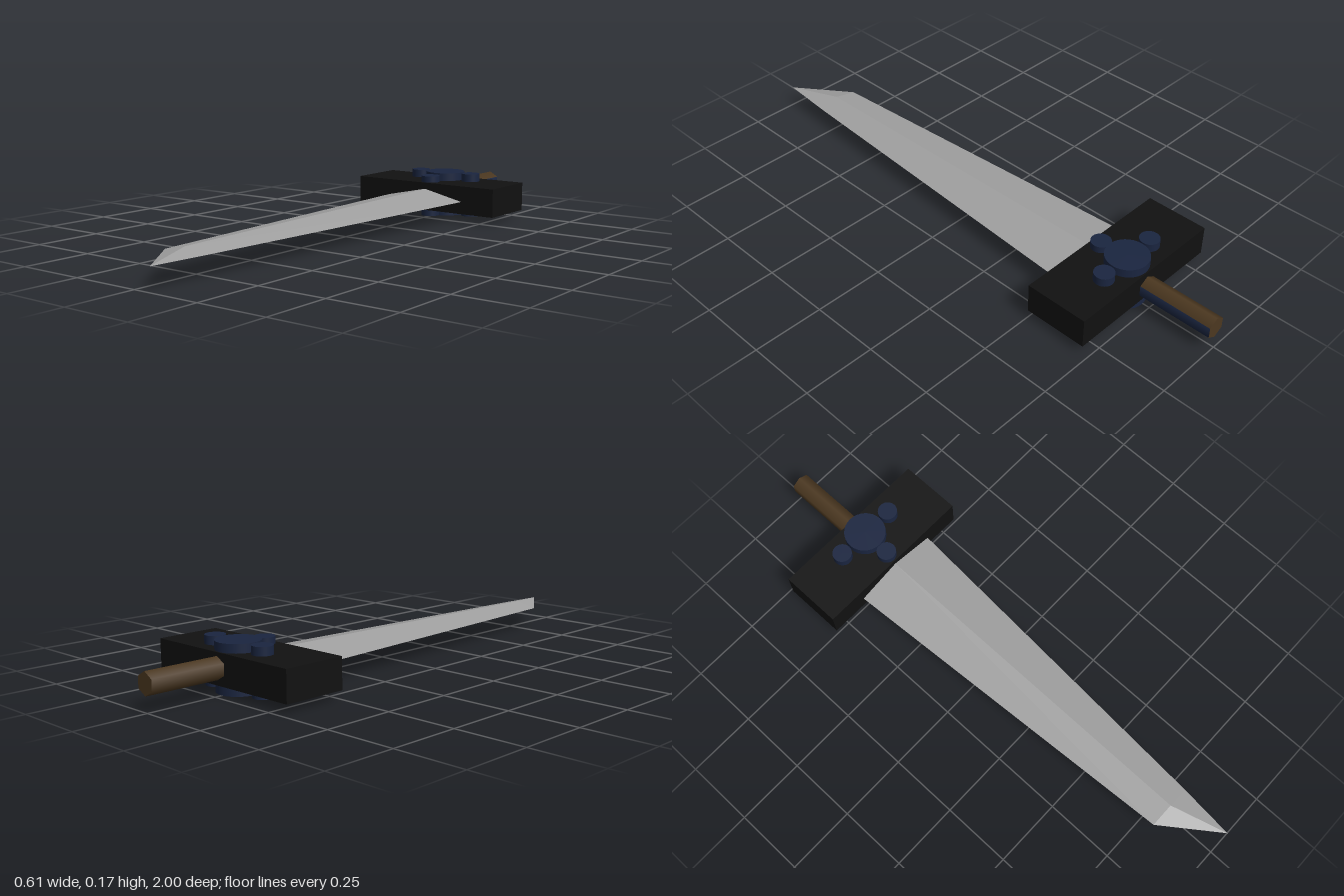
import * as THREE from 'three';

const mat = (color, extra = {}) => new THREE.MeshStandardMaterial({ color, ...extra });

// Diamond-section blade: two rings and an off-centre tip
function bladeGeometry() {
  const ring = (z, xl, xr, top, bottom) =>
    [[xl, 0.077, z], [0.005, top, z], [xr, 0.077, z], [0.005, bottom, z]];
  const a = ring(-0.5, -0.162, 0.17, 0.113, 0.053);
  const b = ring(0.8, -0.08, 0.085, 0.095, 0.066);
  const tip = [0.067, 0.077, 1];
  const pos = [];
  const tri = (...corners) => corners.forEach((p) => pos.push(...p));
  for (let i = 0; i < 4; i++) {
    const j = (i + 1) % 4;
    tri(a[i], b[i], a[j]);
    tri(a[j], b[i], b[j]);
    tri(b[i], tip, b[j]);
  }
  tri(a[0], a[1], a[2]);
  tri(a[0], a[2], a[3]);
  const g = new THREE.BufferGeometry();
  g.setAttribute('position', new THREE.Float32BufferAttribute(pos, 3));
  g.computeVertexNormals();
  return g;
}

export function createModel() {
  const group = new THREE.Group();
  const black = mat(0x111111);
  const blue = mat(0x1a2540);
  const brown = mat(0x4c3820);
  const steel = mat(0xa0a0a0, { flatShading: true });

  const add = (name, geometry, material, x, y, z, parent = group) => {
    const mesh = new THREE.Mesh(geometry, material);
    mesh.name = name;
    mesh.position.set(x, y, z);
    parent.add(mesh);
    return mesh;
  };

  add('blade', bladeGeometry(), steel, 0, 0, 0);
  add('guard', new THREE.BoxGeometry(0.612, 0.107, 0.227), black, 0, 0.0835, -0.6135);

  // Round studs passing through the guard
  const stud = (name, r, h, x, z) =>
    add(name, new THREE.CylinderGeometry(r, r, h, 32), blue, x, 0.0835, z);
  stud('centreStud', 0.075, 0.167, 0.005, -0.648);
  for (const side of [-1, 1])
    stud(side > 0 ? 'leftStud' : 'rightStud', 0.035, 0.166, 0.005 + side * 0.115, -0.648);
  stud('frontStud', 0.035, 0.155, 0.005, -0.54);

  // Six-sided grip: one blue side strip, five brown ones and two end caps
  const grip = new THREE.Group();
  grip.name = 'grip';
  grip.position.set(0.006, 0.0885, -0.8665);
  grip.rotation.x = Math.PI / 2;
  group.add(grip);
  const r = 0.0385, len = 0.267, step = Math.PI / 3;
  const strip = (sides, start) =>
    new THREE.CylinderGeometry(r, r, len, sides, 1, true, start, sides * step);
  add('gripInlay', strip(1, step), blue, 0, 0, 0, grip);
  add('gripWood', strip(5, 2 * step), brown, 0, 0, 0, grip);
  for (const side of [-1, 1]) {
    const cap = add('gripEnd', new THREE.CircleGeometry(r, 6, Math.PI / 2), brown, 0, side * len / 2, 0, grip);
    cap.rotation.x = -side * Math.PI / 2;
  }
  return group;
}
